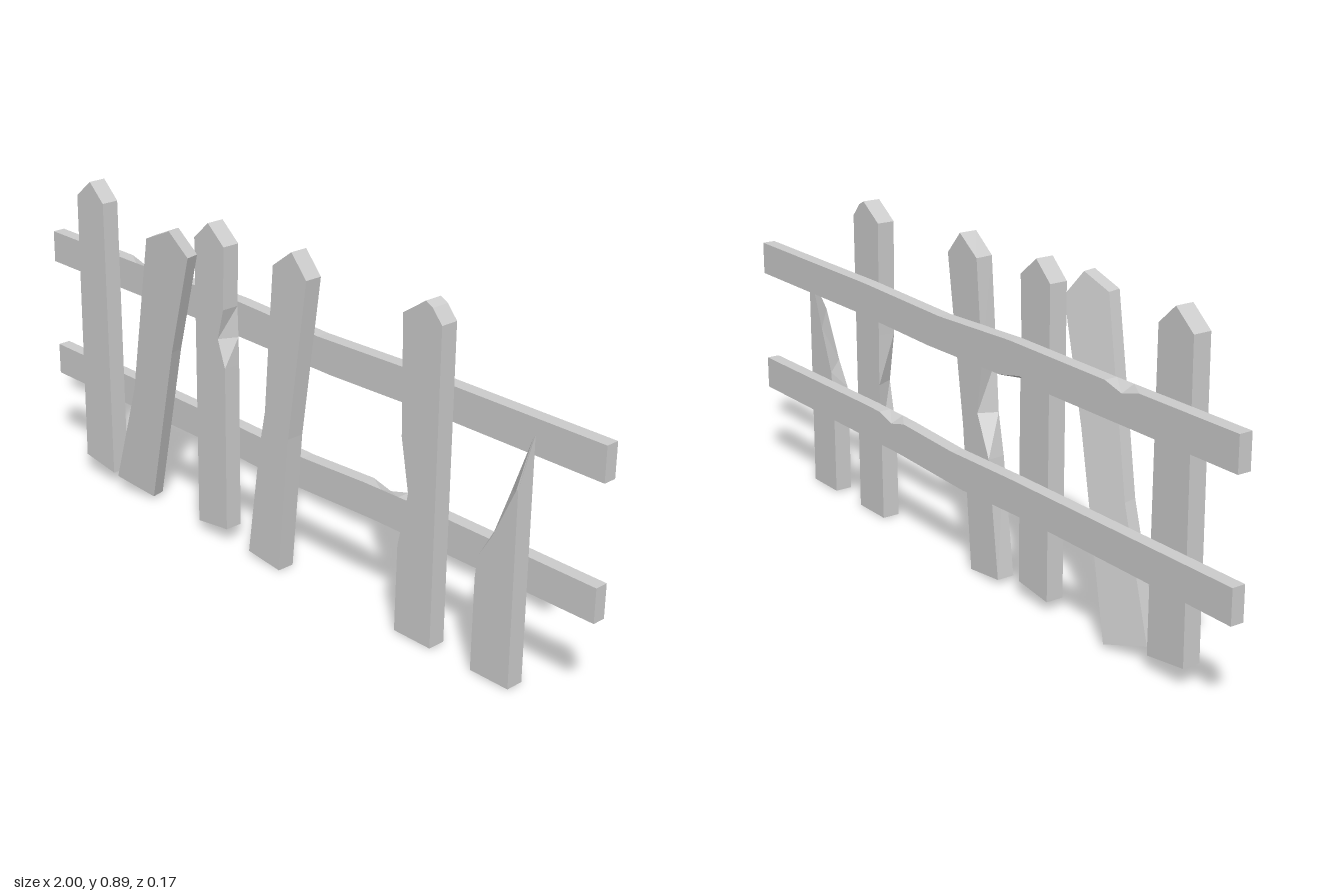
import * as THREE from 'three';

const material = new THREE.MeshStandardMaterial({ color: 0xcccccc, flatShading: true });

// Board between a front and a back outline (counter-clockwise from the front).
// Each point is [x, y, backDx, backDy]; the offsets make splinters and dents.
function board(name, points, zFront, zBack, warp) {
  const front = points.map(([x, y]) => new THREE.Vector3(x, y, zFront));
  const back = points.map(([x, y, dx = 0, dy = 0]) => new THREE.Vector3(x + dx, y + dy, zBack));
  const verts = [];
  const tri = (a, b, c) => verts.push(...a.toArray(), ...b.toArray(), ...c.toArray());
  const cap = (ring, flip) => {
    const flat = ring.map((p) => new THREE.Vector2(p.x, p.y));
    for (const [a, b, c] of THREE.ShapeUtils.triangulateShape(flat, [])) {
      if (flip) tri(ring[c], ring[b], ring[a]);
      else tri(ring[a], ring[b], ring[c]);
    }
  };
  if (warp) [...front, ...back].forEach(warp);
  cap(front, false);
  cap(back, true);
  front.forEach((p, i) => {
    const j = (i + 1) % front.length;
    tri(p, back[i], back[j]);
    tri(p, back[j], front[j]);
  });
  const geometry = new THREE.BufferGeometry();
  geometry.setAttribute('position', new THREE.Float32BufferAttribute(verts, 3));
  geometry.computeVertexNormals();
  const mesh = new THREE.Mesh(geometry, material);
  mesh.name = name;
  return mesh;
}

// Loose picket: leans forward towards the top and is turned about its length
function lean(p) {
  const centre = -0.605 + 0.32 * p.y;
  p.x += 0.2 * p.z;
  p.z += -0.018 + 0.088 * p.y - 0.23 * (p.x - centre);
}

export function createModel() {
  const fence = new THREE.Group();
  fence.name = 'brokenFence';

  // Pickets
  const pickets = [
    ['endPicket', [[-0.815, 0.057], [-0.69, 0.04], [-0.695, 0.84], [-0.75, 0.89], [-0.81, 0.84]]],
    ['chippedPicket', [[-0.31, 0.03], [-0.195, 0.045], [-0.195, 0.51], [-0.222, 0.585, 0.025],
      [-0.2, 0.67], [-0.195, 0.84], [-0.255, 0.89], [-0.31, 0.84]]],
    ['tiltedPicket', [[-0.105, 0.015], [0.013, 0.003], [0.047, 0.39], [0.11, 0.83], [0.057, 0.89],
      [-0.01, 0.84, -0.004], [-0.03, 0.58, -0.006], [-0.04, 0.44, 0.024], [-0.062, 0.33, -0.003]]],
    ['dentedPicket', [[0.435, 0.005], [0.555, 0.005], [0.557, 0.84], [0.527, 0.875], [0.505, 0.887],
      [0.48, 0.87], [0.435, 0.84], [0.442, 0.53], [0.468, 0.39, -0.024], [0.438, 0.24]]],
    ['snappedPicket', [[0.687, 0.005], [0.805, 0.005], [0.803, 0.52, 0, 0.12], [0.797, 0.515, 0, 0.115],
      [0.735, 0.38, 0.008, 0.1], [0.693, 0.31, 0.005, 0.05], [0.688, 0.25]]],
  ];
  for (const [name, points] of pickets) fence.add(board(name, points, 0.009, -0.04));

  fence.add(board('loosePicket', [[-0.66, 0.045], [-0.54, 0.013], [-0.388, 0.505], [-0.285, 0.8],
    [-0.332, 0.865], [-0.41, 0.83], [-0.54, 0.36]], 0.019, -0.021, lean));

  // Rails, slightly bent, with small dents along their back edges
  fence.add(board('upperRail', [[-1, 0.59], [-0.32, 0.59], [-0.24, 0.588, 0, 0.016], [-0.16, 0.587],
    [0.15, 0.583], [0.5, 0.591], [1, 0.59], [1, 0.68], [0.45, 0.68], [0.1, 0.672], [-0.2, 0.683],
    [-0.56, 0.68], [-0.62, 0.68, 0, -0.016], [-0.68, 0.68], [-1, 0.68]], -0.04, -0.076));
  fence.add(board('lowerRail', [[-1, 0.244], [-0.3, 0.244], [0, 0.235], [0.3, 0.245], [1, 0.244],
    [1, 0.334], [0.45, 0.338], [0.39, 0.337], [0.33, 0.336, 0, -0.016], [0.27, 0.335],
    [0.05, 0.325], [-0.2, 0.33], [-1, 0.334]], -0.04, -0.076));

  return fence;
}
